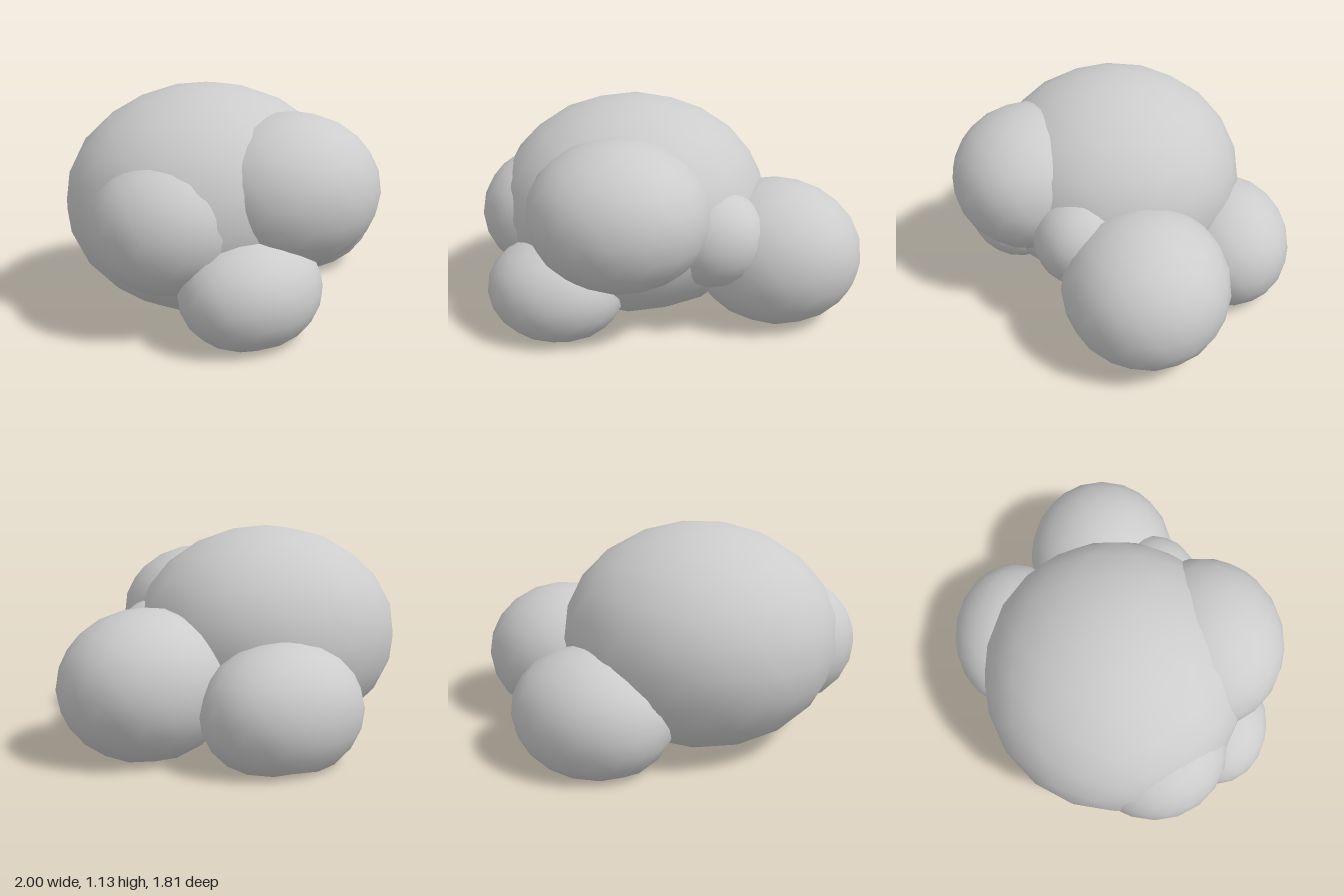
import * as THREE from 'three';
import { mergeVertices } from 'three/addons/utils/BufferGeometryUtils.js';

// Smooth low-poly ellipsoid with a vertex at the top, pressed flat against the ground
function puffGeometry([cx, cy, cz], [rx, ry, rz]) {
  let geo = new THREE.IcosahedronGeometry(1, 3);
  geo.deleteAttribute('uv');
  geo.deleteAttribute('normal');
  geo.rotateZ(Math.atan(2 / (1 + Math.sqrt(5))));
  geo.scale(rx, ry, rz);
  geo.translate(cx, cy, cz);
  geo = mergeVertices(geo, 1e-4);
  const pos = geo.attributes.position;
  for (let i = 0; i < pos.count; i++) pos.setY(i, Math.max(0, pos.getY(i)));
  geo.computeVertexNormals();
  return geo;
}

export function createModel() {
  const group = new THREE.Group();
  group.name = 'puffCluster';
  const grey = new THREE.MeshStandardMaterial({ color: 0xcccccc });
  grey.name = 'light grey';

  // name, centre, radii
  const puffs = [
    ['mainPuff', [-0.235, 0.545, 0.015], [0.725, 0.585, 0.695]],
    ['leftPuff', [0.55, 0.345, -0.055], [0.45, 0.385, 0.42]],
    ['backPuff', [0.09, 0.255, -0.565], [0.425, 0.335, 0.345]],
    ['frontUpperPuff', [-0.1, 0.637, 0.48], [0.46, 0.376, 0.424]],
    ['rightPuff', [-0.62, 0.515, 0.21], [0.382, 0.345, 0.385]],
    ['frontLowerPuff', [-0.425, 0.227, 0.565], [0.358, 0.272, 0.303]],
    ['smallLeftPuff', [0.295, 0.492, 0.235], [0.282, 0.255, 0.257]],
  ];
  for (const [name, centre, radii] of puffs) {
    const mesh = new THREE.Mesh(puffGeometry(centre, radii), grey);
    mesh.name = name;
    group.add(mesh);
  }
  return group;
}
